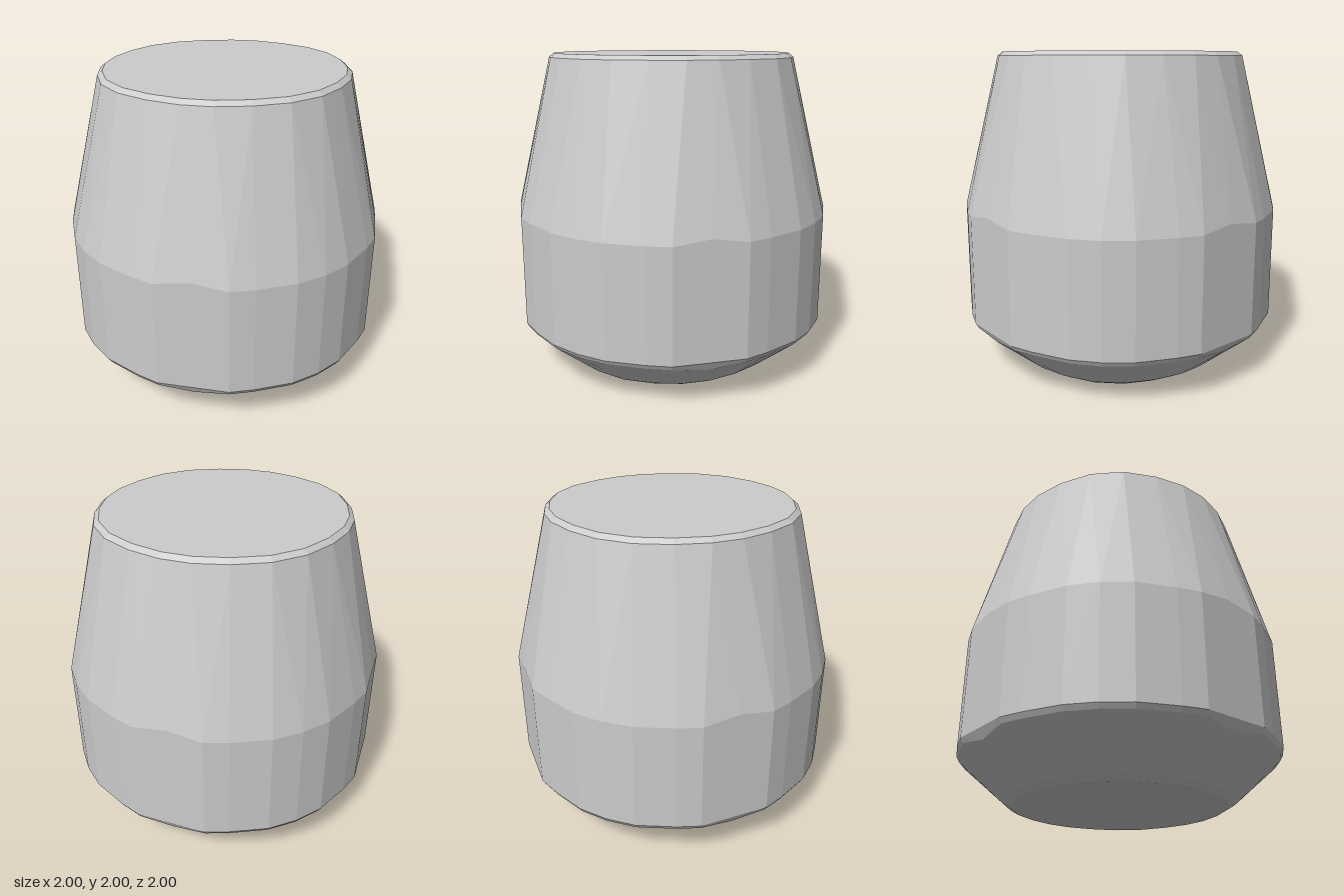
import * as THREE from 'three';
import { ConvexGeometry } from 'three/addons/geometries/ConvexGeometry.js';

// One quadrant of each cross-section as [x, z]; mirrored to the other three.
const BELLY = [[1, 0.22], [0.95, 0.36], [0.845, 0.58], [0.725, 0.725], [0.58, 0.845], [0.36, 0.95], [0.22, 1]];
const RIM = [[0.77, 0.09], [0.72, 0.285], [0.625, 0.475], [0.475, 0.625], [0.285, 0.72], [0.09, 0.77]];

function ring(quadrant, scale, y) {
  const points = [];
  for (const sx of [1, -1]) {
    for (const sz of [1, -1]) {
      for (const [x, z] of quadrant) points.push(new THREE.Vector3(sx * x * scale, y, sz * z * scale));
    }
  }
  return points;
}

// Extra points at the middle of the four broad sides
function midpoints(r, y) {
  return [[r, 0], [-r, 0], [0, r], [0, -r]].map(([x, z]) => new THREE.Vector3(x, y, z));
}

export function createModel() {
  const group = new THREE.Group();
  group.name = 'taperedKnob';

  // Faceted convex body through stacked cross-sections, bottom to top
  const points = [
    ...ring(RIM, 0.85, 0), // foot
    ...ring(RIM, 0.915, 0.03),
    ...midpoints(0.968, 0.25), // lower chamfer
    ...ring(BELLY, 0.983, 0.28),
    ...ring(BELLY, 1, 0.31), // straight belly
    ...ring(BELLY, 1, 1.01),
    ...midpoints(1, 1.04),
    ...ring(RIM, 1.005, 1.975), // bevelled top
    ...ring(RIM, 0.965, 2),
  ];
  const body = new THREE.Mesh(
    new ConvexGeometry(points),
    new THREE.MeshStandardMaterial({ color: 0xcccccc, flatShading: true }),
  );
  body.name = 'body';
  group.add(body);
  return group;
}
